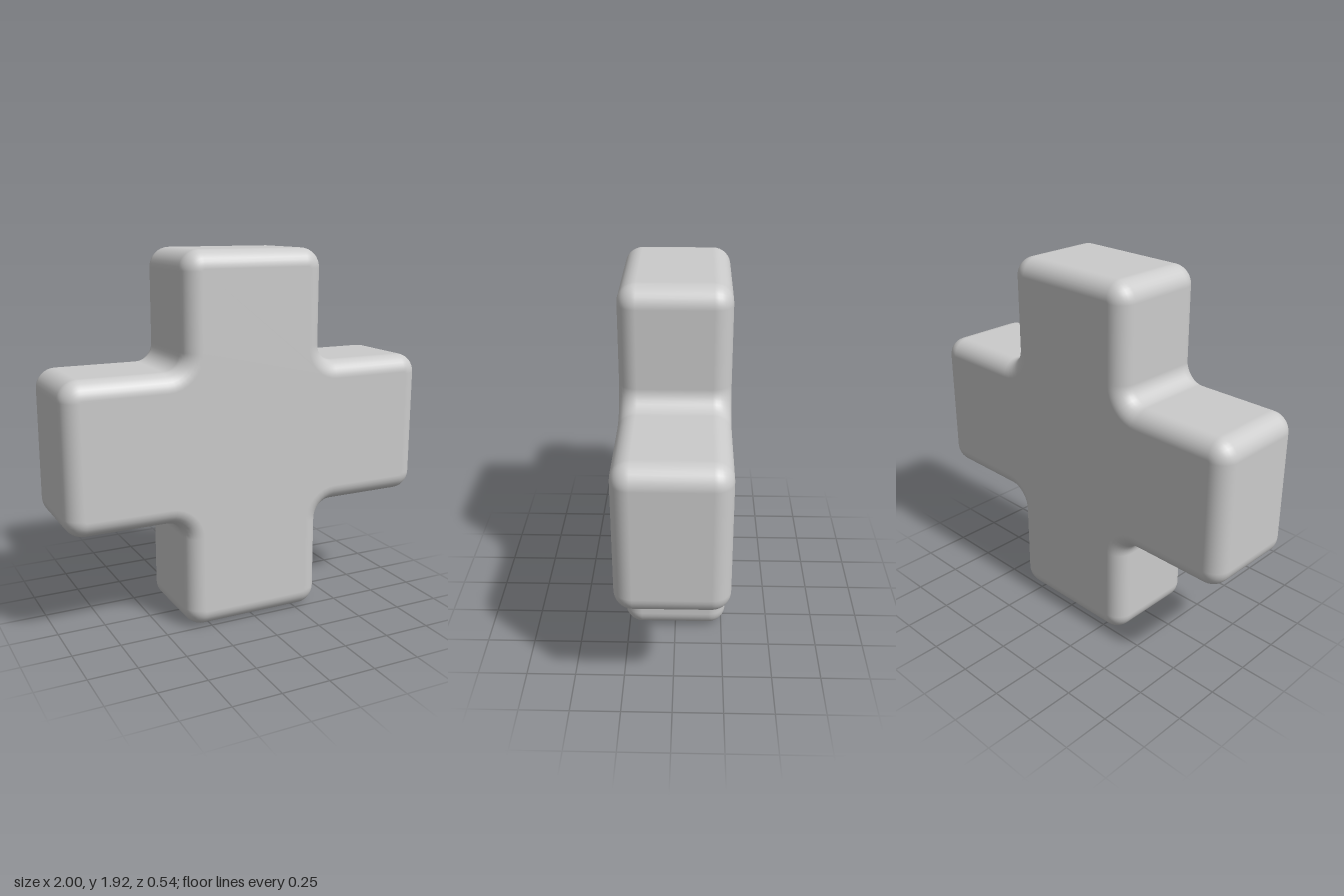
import * as THREE from 'three';

const W = 1, H = 0.9625, ARM = 0.383, DEPTH = 0.27; // half sizes
const CORNER = 0.1, FILLET = 0.09, EDGE = 0.09;     // radii
const STEPS = 8;

// Cross outline inset by d, counter-clockwise, as { p, n } point and outward normal
function outline(d) {
  const out = [];
  for (let k = 0; k < 4; k++) {
    const [w, h] = k % 2 ? [H, W] : [W, H];
    const corners = [
      { x: w - CORNER, y: ARM - CORNER, r: CORNER - d, from: 0, sign: 1 },
      { x: ARM + FILLET, y: ARM + FILLET, r: FILLET + d, from: Math.PI * 1.5, sign: -1 },
      { x: ARM - CORNER, y: h - CORNER, r: CORNER - d, from: 0, sign: 1 },
    ];
    for (const c of corners) {
      for (let s = 0; s <= STEPS; s++) {
        const t = c.from + c.sign * (s / STEPS) * Math.PI / 2;
        const dir = new THREE.Vector2(Math.cos(t), Math.sin(t));
        const p = dir.clone().multiplyScalar(c.r).add(new THREE.Vector2(c.x, c.y));
        const turn = k * Math.PI / 2, origin = new THREE.Vector2();
        out.push({
          p: p.rotateAround(origin, turn),
          n: dir.multiplyScalar(c.sign).rotateAround(origin, turn),
        });
      }
    }
  }
  return out;
}

function roundedCross() {
  const pos = [], nor = [], idx = [];
  // Rings from back to front, following the rounded edges
  const rings = [];
  for (const side of [-1, 1]) {
    for (let s = 0; s <= STEPS; s++) {
      const a = (s / STEPS) * Math.PI / 2;
      rings.push({ side, a: side < 0 ? Math.PI / 2 - a : a });
    }
  }
  let count = 0;
  for (const { side, a } of rings) {
    const ring = outline(EDGE * (1 - Math.cos(a)));
    count = ring.length;
    const z = side * (DEPTH - EDGE + EDGE * Math.sin(a));
    for (const { p, n } of ring) {
      pos.push(p.x, p.y, z);
      nor.push(n.x * Math.cos(a), n.y * Math.cos(a), side * Math.sin(a));
    }
  }
  for (let i = 0; i < rings.length - 1; i++) {
    for (let j = 0; j < count; j++) {
      const k = (j + 1) % count;
      const a = i * count + j, b = i * count + k;
      idx.push(a, b, b + count, a, b + count, a + count);
    }
  }
  // Flat front and back faces
  const face = outline(EDGE).map((o) => o.p);
  const last = (rings.length - 1) * count;
  for (const [a, b, c] of THREE.ShapeUtils.triangulateShape(face, [])) {
    idx.push(last + a, last + b, last + c, c, b, a);
  }
  const g = new THREE.BufferGeometry();
  g.setAttribute('position', new THREE.Float32BufferAttribute(pos, 3));
  g.setAttribute('normal', new THREE.Float32BufferAttribute(nor, 3));
  g.setIndex(idx);
  return g;
}

export function createModel() {
  const group = new THREE.Group();
  const cross = new THREE.Mesh(roundedCross(), new THREE.MeshStandardMaterial({ color: 0xcccccc }));
  cross.name = 'roundedCross';
  cross.position.y = H;
  group.add(cross);
  return group;
}
